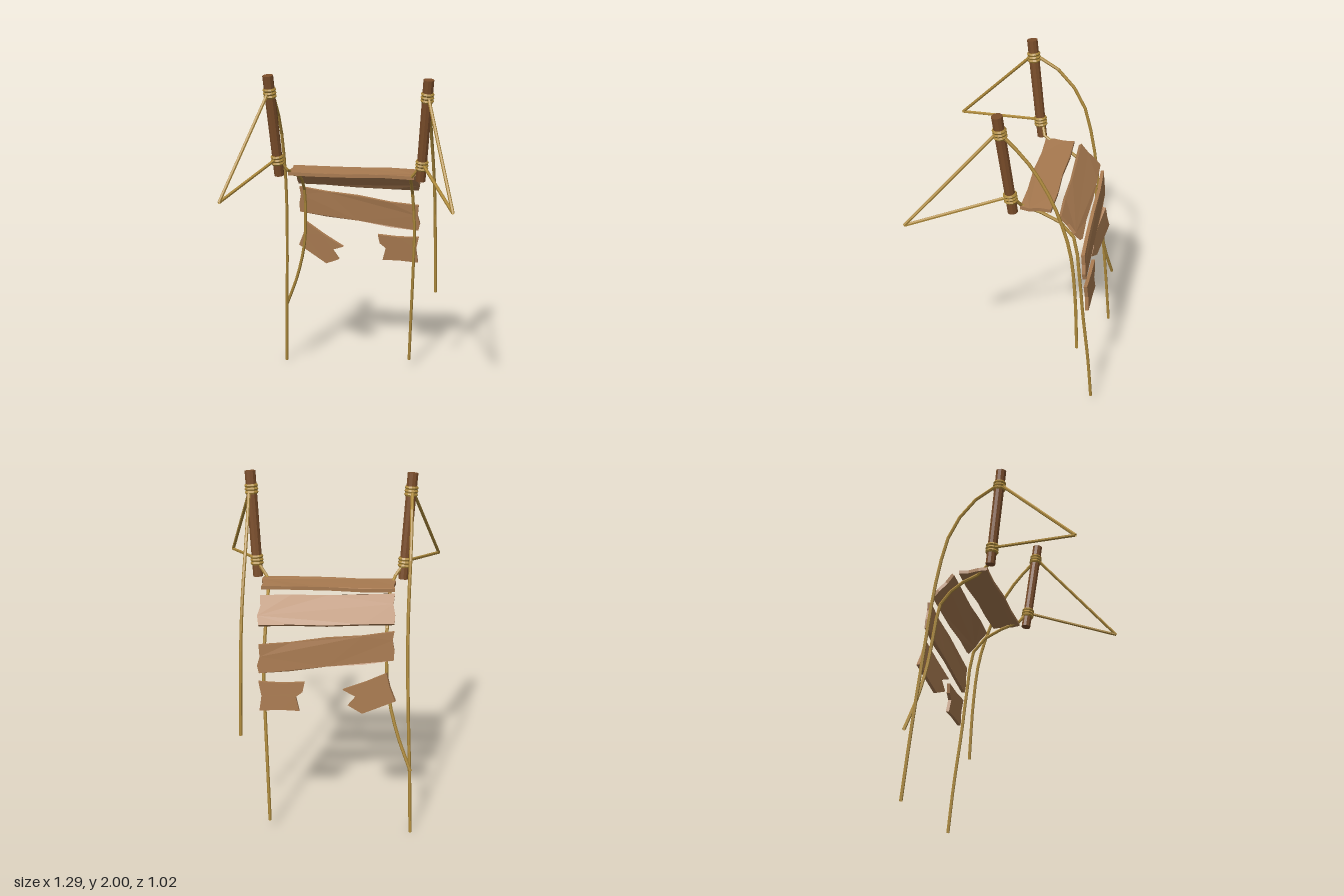
import * as THREE from 'three';

const mat = (name, color, extra = {}) => new THREE.MeshStandardMaterial({ name, color, flatShading: true, ...extra });
const V = (a) => new THREE.Vector3(...a);
const UP = new THREE.Vector3(0, 1, 0);

export function createModel() {
  const wood = mat('plankWood', 0xa87a50);
  const bark = mat('postWood', 0x7a4d2a);
  const hemp = mat('rope', 0xae8a3c, { side: THREE.DoubleSide });
  const root = new THREE.Group();
  root.name = 'brokenRopeBridge';

  const add = (name, geo, material, parent = root) => {
    const m = new THREE.Mesh(geo, material);
    m.name = name;
    parent.add(m);
    return m;
  };

  // Rope through a few points
  const rope = (name, pts, segs = 14) =>
    add(name, new THREE.TubeGeometry(new THREE.CatmullRomCurve3(pts.map(V)), segs, 0.0095, 6), hemp);

  // Plank cut from an outline, laid in its own plane; bend waves it out of plane
  const plank = (name, outline, pos, rot, bend = 0) => {
    const shape = new THREE.Shape(outline.map(([x, y]) => new THREE.Vector2(x, y)));
    const geo = new THREE.ExtrudeGeometry(shape, { depth: 0.02, bevelEnabled: false });
    geo.translate(0, 0, -0.01);
    const p = geo.attributes.position;
    for (let i = 0; i < p.count; i++) p.setZ(i, p.getZ(i) + bend * Math.sin(p.getX(i) * 8));
    geo.computeVertexNormals();
    const m = add(name, geo, wood);
    m.position.set(...pos);
    m.rotation.set(...rot);
  };

  // Full-width board with wavy long edges and worn ends
  const board = (w, wave, drop) => {
    const xs = [-0.37, -0.2, 0, 0.2, 0.375];
    const edge = (s) => xs.map((x, i) => [x, s * w / 2 + wave[i] - drop * x]);
    return [...edge(-1), [0.385, -w / 5 - drop * 0.375], [0.37, w / 8 - drop * 0.375],
      ...edge(1).reverse(), [-0.362, w / 6 + drop * 0.37], [-0.373, -w / 5 + drop * 0.37]];
  };

  // Leaning posts with rope lashings and anchor stays
  for (const s of [1, -1]) {
    const side = s > 0 ? 'left' : 'right';
    const a = V([s * 0.415, 1.4, -0.043]), b = V([s * 0.455, 1.998, 0.029]);
    const group = new THREE.Group();
    group.name = side + 'Post';
    group.position.copy(a).add(b).multiplyScalar(0.5);
    group.quaternion.setFromUnitVectors(UP, b.clone().sub(a).normalize());
    root.add(group);
    add('postShaft', new THREE.CylinderGeometry(0.031, 0.029, a.distanceTo(b), 10), bark, group);
    for (const y of [0.2, -0.205]) {
      for (let i = -1; i <= 1; i++) {
        const ring = add('lashing', new THREE.TorusGeometry(0.028, 0.011, 6, 12), hemp, group);
        ring.rotation.x = Math.PI / 2;
        ring.position.y = y + i * 0.019;
      }
    }
    rope(side + 'UpperStay', [[s * 0.455, 1.9, 0.03], [s * 0.635, 1.382, 0.5]], 1);
    rope(side + 'LowerStay', [[s * 0.43, 1.5, -0.02], [s * 0.635, 1.382, 0.5]], 1);
  }

  // Hanging handrail ropes
  rope('rightHandrail', [[-0.455, 1.9, 0], [-0.452, 1.84, -0.11], [-0.452, 1.75, -0.2], [-0.45, 1.62, -0.28],
    [-0.446, 1.43, -0.335], [-0.445, 1.2, -0.375], [-0.456, 0.8, -0.42], [-0.474, 0.4, -0.46], [-0.488, 0.005, -0.495]]);
  rope('leftHandrail', [[0.46, 1.89, 0], [0.457, 1.76, -0.12], [0.46, 1.61, -0.22], [0.468, 1.43, -0.305],
    [0.476, 1.22, -0.37], [0.483, 0.95, -0.405], [0.492, 0.57, -0.428]]);

  // Deck ropes carrying the planks
  rope('rightDeckRope', [[-0.425, 1.5, -0.04], [-0.36, 1.41, -0.08], [-0.335, 1.34, -0.25], [-0.33, 1.24, -0.36],
    [-0.33, 1.05, -0.4], [-0.345, 0.85, -0.425], [-0.4, 0.62, -0.46], [-0.478, 0.41, -0.5]]);
  rope('leftDeckRope', [[0.425, 1.5, -0.04], [0.36, 1.41, -0.08], [0.34, 1.34, -0.25], [0.34, 1.24, -0.36],
    [0.353, 1, -0.405], [0.347, 0.7, -0.435], [0.335, 0.35, -0.475], [0.326, 0.06, -0.5]]);

  // Planks, from level at the top to hanging below
  plank('topPlank', board(0.17, [0, 0.005, -0.003, 0.006, 0], 0), [0, 1.402, -0.16], [-Math.PI / 2, 0, 0], 0.004);
  plank('secondPlank', board(0.178, [0.003, 0, -0.005, 0.002, -0.002], 0.025), [0, 1.317, -0.348], [0.74, 0, 0], 0.004);
  plank('thirdPlank', board(0.165, [-0.006, -0.009, 0.002, -0.003, 0.006], 0.14), [0, 1.1, -0.43], [0.08, 0, 0], 0.004);

  // Snapped halves of the lowest plank
  plank('brokenPlankRight', [[-0.145, -0.03], [0.045, -0.13], [0.13, -0.09], [0.085, -0.032], [0.16, 0],
    [0.03, 0.062], [-0.092, 0.13], [-0.112, 0.05]], [-0.245, 0.86, -0.43], [0.05, -0.23, 0], 0.005);
  plank('brokenPlankLeft', [[-0.1, -0.083], [0, -0.08], [0.125, -0.088], [0.112, 0], [0.128, 0.083],
    [0, 0.078], [-0.13, 0.087], [-0.118, 0.03], [-0.08, 0]], [0.25, 0.84, -0.457], [0.08, 0, 0], 0.003);

  return root;
}
